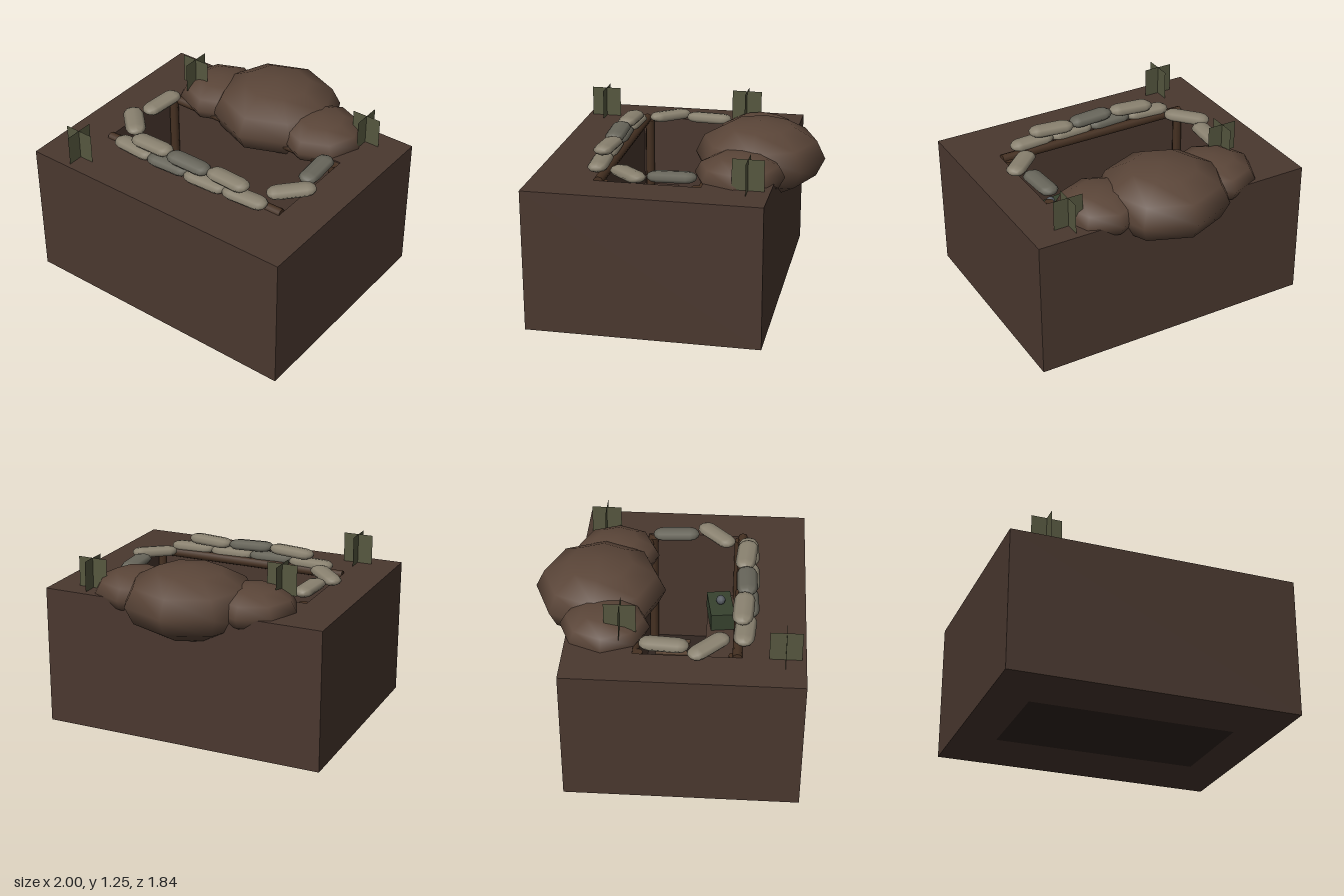
import * as THREE from 'three';

const mat = (color, extra = {}) => new THREE.MeshStandardMaterial({ color, ...extra });
const soil = mat(0x4a382f);
const darkSoil = mat(0x30251f);
const moundSoil = mat(0x5a4538);
const wood = mat(0x5c4736);
const darkWood = mat(0x463122);
const bagLight = mat(0x8a8270);
const bagDark = mat(0x68665b);
const grassGreen = mat(0x56573f, { side: THREE.DoubleSide });
const crateGreen = mat(0x37422f);
const metal = mat(0x555a60);

const GROUND = 0.97;

export function createModel() {
  const model = new THREE.Group();
  const add = (name, geometry, material, x, y, z, parent = model) => {
    const mesh = new THREE.Mesh(geometry, material);
    mesh.name = name;
    mesh.position.set(x, y, z);
    parent.add(mesh);
    return mesh;
  };

  // Earth block with a rectangular trench cut through it
  const rect = (path, x, y0, y1) =>
    path.moveTo(-x, y0).lineTo(x, y0).lineTo(x, y1).lineTo(-x, y1).closePath();
  const outline = rect(new THREE.Shape(), 1, -0.92, 0.65);
  outline.holes.push(rect(new THREE.Path(), 0.715, -0.5, 0.2));
  const earth = new THREE.ExtrudeGeometry(outline, { depth: GROUND, bevelEnabled: false });
  earth.rotateX(-Math.PI / 2);
  add('earthBlock', earth, soil, 0, 0, 0);

  // Trench floor and the raised step along the front wall
  add('trenchFloor', new THREE.BoxGeometry(1.43, 0.06, 0.7), darkSoil, 0, 0.03, 0.15);
  add('fireStep', new THREE.BoxGeometry(1.43, 0.39, 0.26), soil, 0, 0.255, 0.37);

  // Slatted walkway
  const walkway = new THREE.Group();
  walkway.name = 'walkway';
  model.add(walkway);
  for (const z of [-0.085, 0.06])
    add('walkwayRail', new THREE.BoxGeometry(1.17, 0.03, 0.025), wood, 0, 0.075, z, walkway);
  for (let i = 0; i < 9; i++)
    add('walkwaySlat', new THREE.BoxGeometry(0.05, 0.02, 0.25), wood, (i - 4) * 0.143, 0.1, -0.015, walkway);

  // Corner posts and the logs along the trench edges
  for (const x of [-0.68, 0.68])
    for (const z of [-0.165, 0.45])
      add('cornerPost', new THREE.CylinderGeometry(0.032, 0.032, 0.9, 8), darkWood, x, 0.51, z);
  const log = new THREE.CylinderGeometry(0.033, 0.033, 1.43, 8).rotateZ(Math.PI / 2);
  add('frontLog', log, darkWood, 0, 0.965, 0.477);
  add('backLog', log, darkWood, 0, 0.93, -0.195);

  // Heaped earth at the back
  const mound = (x, z, rx, ry, rz) => {
    const mesh = add('earthMound', new THREE.SphereGeometry(1, 8, 6), moundSoil, x, 0.975, z);
    mesh.scale.set(rx, ry, rz);
  };
  mound(0, -0.475, 0.46, 0.245, 0.445);
  mound(-0.427, -0.405, 0.3, 0.147, 0.3);
  mound(0.427, -0.405, 0.3, 0.147, 0.3);

  // Sandbags: x, y, z, turn, tilt, material
  const bag = new THREE.CapsuleGeometry(0.07, 0.19, 3, 8).rotateZ(Math.PI / 2);
  const bags = [
    [-0.46, 1.005, 0.52, -0.06, 0, bagLight], [-0.155, 1.01, 0.535, 0.05, 0, bagDark],
    [0.15, 1.005, 0.535, 0.04, 0, bagLight], [0.46, 1.01, 0.525, 0.06, 0, bagLight],
    [-0.32, 1.078, 0.505, -0.04, 0.05, bagLight], [0, 1.078, 0.52, 0.03, -0.03, bagDark],
    [0.315, 1.078, 0.51, -0.07, 0.03, bagLight],
    [-0.655, 1.01, 0, 1.5, 0, bagLight], [0.658, 1.01, 0, 1.64, 0, bagDark],
    [-0.66, 1.012, 0.29, -0.78, 0.04, bagLight], [0.66, 1.012, 0.29, 0.78, 0.04, bagLight],
  ];
  for (const [x, y, z, turn, tilt, material] of bags) {
    const mesh = add('sandbag', bag, material, x, y, z);
    mesh.scale.set(1, 0.52, 1);
    mesh.rotation.set(0, turn, tilt);
  }

  // Grass tufts made of two crossed sheets
  for (const [x, y, z] of [[-0.715, GROUND, 0.785], [-0.575, 1.04, -0.29], [0.715, GROUND, -0.505]]) {
    const tuft = new THREE.Group();
    tuft.name = 'grassTuft';
    tuft.position.set(x, y + 0.105, z);
    model.add(tuft);
    for (const turn of [0, Math.PI / 2])
      add('grassSheet', new THREE.PlaneGeometry(0.21, 0.21), grassGreen, 0, 0, 0, tuft).rotation.y = turn;
  }

  // Supply crate with a small metal object on its lid
  const crate = new THREE.Group();
  crate.name = 'supplyCrate';
  crate.position.set(0.425, 0.45, 0.335);
  crate.rotation.y = 0.15;
  model.add(crate);
  add('crateBox', new THREE.BoxGeometry(0.295, 0.13, 0.17), crateGreen, 0, 0.065, 0, crate);
  add('metalBall', new THREE.SphereGeometry(0.035, 8, 6), metal, 0, 0.16, 0, crate);

  return model;
}
